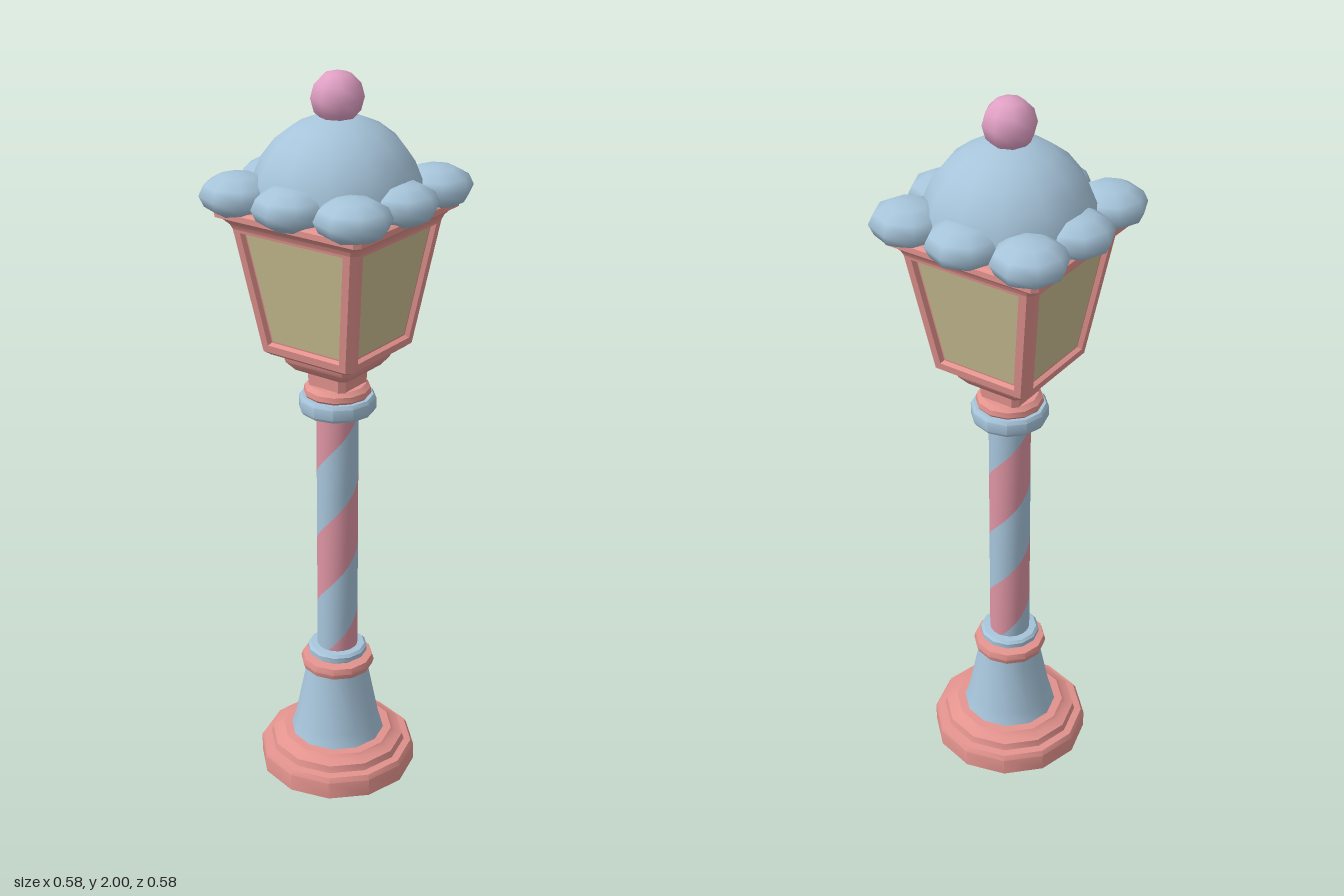
import * as THREE from 'three';
import { toCreasedNormals } from 'three/addons/utils/BufferGeometryUtils.js';

const paint = (name, color, side = THREE.FrontSide) => {
  const m = new THREE.MeshStandardMaterial({ color, side });
  m.name = name;
  return m;
};

// Geometry from a list of four-cornered faces, each counter-clockwise from outside
function fromQuads(quads, crease = 0.6) {
  const pos = [];
  for (const [a, b, c, d] of quads) pos.push(...a, ...b, ...c, ...a, ...c, ...d);
  const g = new THREE.BufferGeometry();
  g.setAttribute('position', new THREE.Float32BufferAttribute(pos, 3));
  return toCreasedNormals(g, crease);
}

// Square section with chamfered corners
function squareRing(y, h, c) {
  const a = h - c;
  return [[-a, h], [a, h], [h, a], [h, -a], [a, -h], [-a, -h], [-h, -a], [-h, a]].map(([x, z]) => [x, y, z]);
}

// Loft of [y, halfWidth] sections, optionally closed on top
function squareLoft(sections, c, closeTop = false) {
  const rings = sections.map(([y, h]) => squareRing(y, h, c));
  const quads = [];
  for (let i = 0; i < rings.length - 1; i++)
    for (let k = 0; k < 8; k++) {
      const n = (k + 1) % 8;
      quads.push([rings[i][k], rings[i][n], rings[i + 1][n], rings[i + 1][k]]);
    }
  if (closeTop) {
    const t = rings[rings.length - 1];
    quads.push([t[0], t[1], t[2], t[7]], [t[7], t[2], t[3], t[6]], [t[6], t[3], t[4], t[5]]);
  }
  return fromQuads(quads);
}

// Turned part from [radius, y] points
function turned(points, segments = 12) {
  return toCreasedNormals(new THREE.LatheGeometry(points.map(([r, y]) => new THREE.Vector2(r, y)), segments), 0.65);
}

// Spiral band on the shaft; its upper edge crosses the front at height top
function spiral(top, width, pitch, radius, yMin, yMax) {
  const N = 20, quads = [];
  const clamp = y => Math.min(yMax, Math.max(yMin, y));
  const p = (t, y) => [radius * Math.sin(t), clamp(y), radius * Math.cos(t)];
  for (let i = -4 * N; i < 4 * N; i++) {
    const t0 = i / N * Math.PI * 2, t1 = (i + 1) / N * Math.PI * 2;
    const y0 = top + pitch * i / N, y1 = top + pitch * (i + 1) / N;
    if (y1 <= yMin || y0 - width >= yMax) continue;
    quads.push([p(t0, y0 - width), p(t1, y1 - width), p(t1, y1), p(t0, y0)]);
  }
  return fromQuads(quads);
}

export function createModel() {
  const model = new THREE.Group();
  model.name = 'streetLamp';
  const blue = paint('powder blue', 0xa6c4da, THREE.DoubleSide);
  const coral = paint('coral', 0xe3938e, THREE.DoubleSide);
  const rose = paint('rose stripe', 0xdd94a3, THREE.DoubleSide);
  const pink = paint('orchid pink', 0xe0a0c4);
  const glass = paint('warm glass', 0xc9bd92, THREE.DoubleSide);
  const add = (name, geometry, material, parent = model) => {
    const m = new THREE.Mesh(geometry, material);
    m.name = name;
    parent.add(m);
    return m;
  };

  // Hollow stepped foot and tapered pedestal
  add('foot', turned([[0.22, 0], [0.22, 0.05], [0.212, 0.063], [0.192, 0.066], [0.187, 0.085],
    [0.165, 0.093], [0.155, 0.102], [0.128, 0.104]]), coral);
  add('pedestal', turned([[0.133, 0.1], [0.12, 0.14], [0.085, 0.315]]), blue);
  add('pedestalRing', turned([[0.08, 0.31], [0.098, 0.315], [0.103, 0.33], [0.098, 0.346], [0.07, 0.35]]), coral);
  add('shaftSocket', turned([[0.07, 0.345], [0.072, 0.357], [0.083, 0.36], [0.083, 0.373], [0.076, 0.38], [0.05, 0.382]]), blue);

  // Candy-striped shaft
  add('blueStripe', spiral(1.07, 0.2, 0.4, 0.056, 0.375, 1.11), blue);
  add('roseStripe', spiral(0.87, 0.2, 0.4, 0.056, 0.375, 1.11), rose);

  // Collars
  add('lowerCollar', turned([[0.05, 1.1], [0.098, 1.1], [0.103, 1.108], [0.103, 1.137], [0.096, 1.146], [0.05, 1.146]]), blue);
  add('upperCollar', turned([[0.085, 1.145], [0.09, 1.152], [0.088, 1.166], [0.076, 1.177], [0, 1.178]]), coral);

  // Lantern neck and cup
  add('lanternCup', squareLoft([[1.17, 0.06], [1.212, 0.062], [1.222, 0.086], [1.245, 0.104],
    [1.262, 0.108], [1.27, 0.132], [1.28, 0.1445]], 0.014), coral);

  // Four framed panes with chamfered corner posts
  const y0 = 1.28, y1 = 1.615, c = 0.014;
  const half = y => 0.143 + (y - 1.27) * 0.151;
  const paneRing = (border, depth) => {
    const lo = y0 + border, hi = y1 - border * 0.5;
    const u = y => half(y) - c - border;
    return [[-u(lo), lo, half(lo) - depth], [u(lo), lo, half(lo) - depth],
      [u(hi), hi, half(hi) - depth], [-u(hi), hi, half(hi) - depth]];
  };
  const rings = [paneRing(0, 0), paneRing(0.02, 0), paneRing(0.026, 0.012), paneRing(0.03, 0.012)];
  const frameQuads = [];
  for (let i = 0; i < 3; i++)
    for (let k = 0; k < 4; k++) {
      const n = (k + 1) % 4;
      frameQuads.push([rings[i][k], rings[i][n], rings[i + 1][n], rings[i + 1][k]]);
    }
  const [a, b] = [half(y0), half(y1)];
  frameQuads.push([[a - c, y0, a], [a, y0, a - c], [b, y1, b - c], [b - c, y1, b]]);
  const frameGeo = fromQuads(frameQuads, 0.5), paneGeo = fromQuads([rings[3]]);
  const lantern = new THREE.Group();
  lantern.name = 'lantern';
  model.add(lantern);
  for (let i = 0; i < 4; i++) {
    add('lanternFrame', frameGeo, coral, lantern).rotation.y = i * Math.PI / 2;
    add('lanternPane', paneGeo, glass, lantern).rotation.y = i * Math.PI / 2;
  }
  add('lanternCornice', squareLoft([[1.612, half(1.612)], [1.625, 0.2], [1.64, 0.213],
    [1.645, 0.226], [1.66, 0.226], [1.666, 0.218]], 0.014, true), coral);

  // Domed roof ringed with puffs
  add('roofDome', new THREE.SphereGeometry(0.223, 12, 6, 0, Math.PI * 2, 0, Math.PI / 2), blue).position.y = 1.668;
  const puffGeo = new THREE.SphereGeometry(0.098, 8, 6);
  for (let ix = -1; ix <= 1; ix++)
    for (let iz = -1; iz <= 1; iz++) {
      if (!ix && !iz) continue;
      const d = ix && iz ? 0.177 : 0.192;
      const puff = add('roofPuff', puffGeo, blue);
      puff.position.set(ix * d, 1.698, iz * d);
      puff.scale.y = 0.57;
    }

  // Ball finial
  add('finial', new THREE.SphereGeometry(0.068, 8, 6), pink).position.y = 1.932;
  return model;
}
